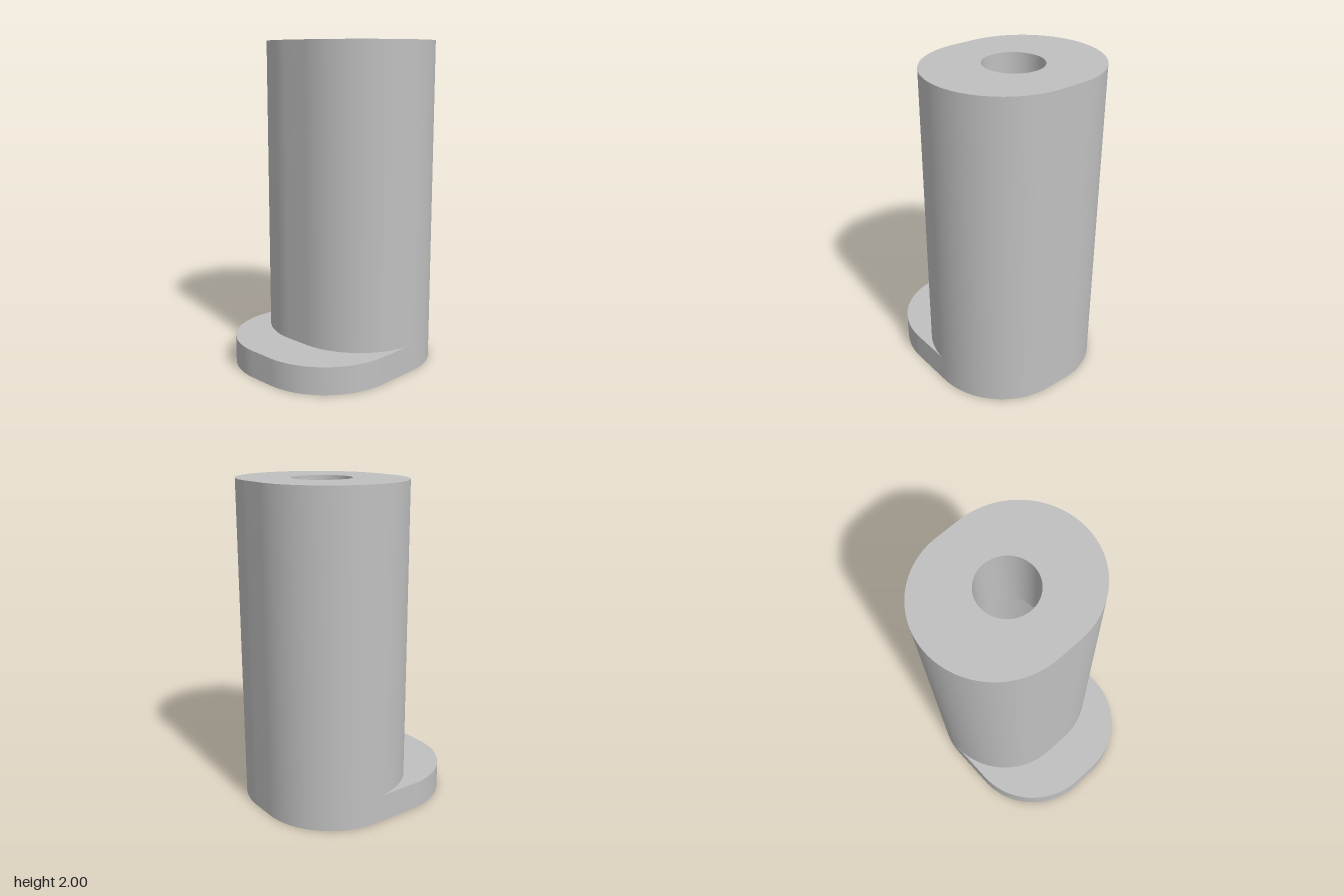
import * as THREE from 'three';
import { toCreasedNormals } from 'three/addons/utils/BufferGeometryUtils.js';

const RADIUS = 0.4625;   // rounded ends of the outline
const FLAT = 0.0775;     // half width of the flat front and back
const AXIS_Z = -0.147;   // column and bore centre
const BASE_Z = 0.147;    // front lobe centre of the foot
const FOOT_TOP = 0.17;
const RECESS_TOP = 1.5;
const HEIGHT = 2;

// Rounded outline stretched from zBack to zFront, pierced by a round hole.
// Shape y is -z of the model.
function outline(zBack, zFront, holeRadius) {
  const s = new THREE.Shape();
  s.absarc(FLAT, -zFront, RADIUS, -Math.PI / 2, 0, false);
  s.absarc(FLAT, -zBack, RADIUS, 0, Math.PI / 2, false);
  s.absarc(-FLAT, -zBack, RADIUS, Math.PI / 2, Math.PI, false);
  s.absarc(-FLAT, -zFront, RADIUS, Math.PI, Math.PI * 1.5, false);
  const hole = new THREE.Path();
  hole.absarc(0, -AXIS_Z, holeRadius, 0, Math.PI * 2, true);
  s.holes.push(hole);
  return s;
}

export function createModel() {
  const group = new THREE.Group();
  group.name = 'flangedSleeve';
  const grey = new THREE.MeshStandardMaterial({ color: 0xc0c0c0 });
  grey.name = 'plain grey';

  function addSlab(name, shape, y0, y1) {
    const geo = new THREE.ExtrudeGeometry(shape, {
      depth: y1 - y0, bevelEnabled: false, curveSegments: 32,
    });
    geo.rotateX(-Math.PI / 2);
    geo.translate(0, y0, 0);
    const mesh = new THREE.Mesh(toCreasedNormals(geo, Math.PI / 6), grey);
    mesh.name = name;
    group.add(mesh);
  }

  // Foot reaching forward, wide recess below, narrow bore at the top
  addSlab('foot', outline(AXIS_Z, BASE_Z, 0.34), 0, FOOT_TOP);
  addSlab('recessedColumn', outline(AXIS_Z, AXIS_Z, 0.34), FOOT_TOP, RECESS_TOP);
  addSlab('boredColumnTop', outline(AXIS_Z, AXIS_Z, 0.18), RECESS_TOP, HEIGHT);
  return group;
}
